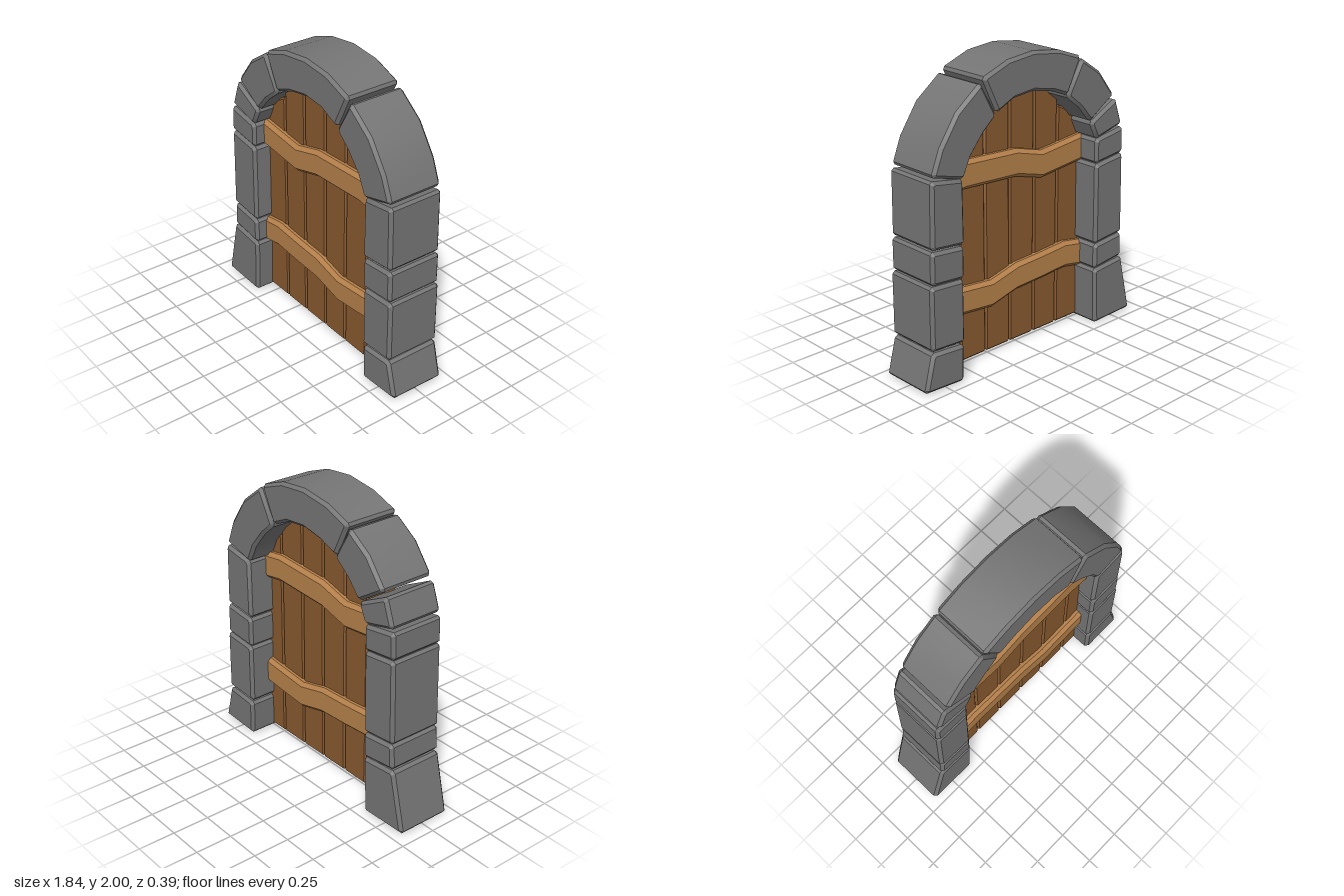
import * as THREE from 'three';
import { toCreasedNormals } from 'three/addons/utils/BufferGeometryUtils.js';

const stoneMat = new THREE.MeshStandardMaterial({ color: 0x757575 });
const plankMat = new THREE.MeshStandardMaterial({ color: 0x87592f });
const barMat = new THREE.MeshStandardMaterial({ color: 0xb5804a });

// Clip every sharp corner of an outline, leaving gentle bends alone
function clipCorners(points, cut) {
  const pts = points.map(([x, y]) => new THREE.Vector2(x, y));
  const out = [];
  pts.forEach((p, i) => {
    const toPrev = pts[(i + pts.length - 1) % pts.length].clone().sub(p).normalize();
    const toNext = pts[(i + 1) % pts.length].clone().sub(p).normalize();
    if (toPrev.dot(toNext) < -0.75) out.push(p);
    else out.push(p.clone().addScaledVector(toPrev, cut), p.clone().addScaledVector(toNext, cut));
  });
  return out;
}

// Slab with chamfered edges: front outline, back and front z, chamfer size, corner cut
function slab(name, outline, z0, z1, bevel, cut, material) {
  const shape = new THREE.Shape(cut > 0 ? clipCorners(outline, cut) : outline.map(([x, y]) => new THREE.Vector2(x, y)));
  const geo = new THREE.ExtrudeGeometry(shape, {
    depth: z1 - z0 - 2 * bevel, bevelEnabled: true, bevelSegments: 1,
    bevelSize: bevel, bevelThickness: bevel, bevelOffset: -bevel,
  });
  geo.translate(0, 0, z0 + bevel);
  const mesh = new THREE.Mesh(toCreasedNormals(geo, 0.5), material);
  mesh.name = name;
  return mesh;
}

export function createModel() {
  const model = new THREE.Group();
  model.name = 'archedDoor';

  // Stone frame, from the foot of one pillar over the arch to the other
  const stones = {
    rightFootStone: [[-0.925, 0.01], [-0.57, 0], [-0.555, 0.4], [-0.83, 0.425]],
    rightPillarStone1: [[-0.825, 0.435], [-0.555, 0.405], [-0.555, 0.58], [-0.815, 0.605]],
    rightPillarStone2: [[-0.82, 0.61], [-0.555, 0.585], [-0.55, 1.145], [-0.81, 1.175]],
    rightPillarStone3: [[-0.81, 1.18], [-0.55, 1.15], [-0.545, 1.32], [-0.805, 1.36]],
    archStone1: [[-0.795, 1.38], [-0.55, 1.32], [-0.49, 1.445], [-0.73, 1.565]],
    archStone2: [[-0.71, 1.59], [-0.49, 1.45], [-0.39, 1.565], [-0.27, 1.66], [-0.4, 1.885], [-0.57, 1.77]],
    archKeystone: [[-0.395, 1.9], [-0.28, 1.665], [-0.14, 1.72], [0.02, 1.75], [0.18, 1.735], [0.32, 1.67],
      [0.435, 1.905], [0.23, 1.98], [0.02, 2], [-0.2, 1.97]],
    archStone3: [[0.45, 1.885], [0.325, 1.66], [0.43, 1.57], [0.53, 1.45], [0.59, 1.32],
      [0.835, 1.385], [0.77, 1.55], [0.64, 1.74]],
    leftPillarStone3: [[0.845, 1.365], [0.595, 1.325], [0.59, 0.91], [0.85, 0.935]],
    leftPillarStone2: [[0.855, 0.925], [0.595, 0.9], [0.595, 0.69], [0.855, 0.71]],
    leftPillarStone1: [[0.865, 0.705], [0.6, 0.685], [0.6, 0.265], [0.865, 0.28]],
    leftFootStone: [[0.86, 0.27], [0.605, 0.25], [0.61, 0], [0.925, 0.015]],
  };
  const frame = new THREE.Group();
  frame.name = 'stoneFrame';
  for (const [name, outline] of Object.entries(stones)) {
    frame.add(slab(name, outline, -0.195, 0.195, 0.02, 0.018, stoneMat));
  }
  model.add(frame);

  // Door planks: left edge, right edge, top height at each edge
  const door = new THREE.Group();
  door.name = 'plankDoor';
  [
    [-0.58, -0.37, 1.45, 1.555], [-0.37, -0.16, 1.65, 1.78], [-0.16, 0.055, 1.78, 1.82],
    [0.055, 0.265, 1.82, 1.78], [0.265, 0.48, 1.76, 1.6], [0.48, 0.635, 1.6, 1.42],
  ].forEach(([x0, x1, y0, y1], i) => {
    const outline = [[x0, 0.015], [x1, 0.015], [x1, y1], [x0, y0]];
    door.add(slab('plank' + (i + 1), outline, -0.01, 0.07, 0.012, 0.014, plankMat));
  });
  model.add(door);

  // Crooked cross bars: centre line points, showing on both faces of the door
  const bars = {
    upperBar: [[-0.6, 1.24], [-0.2, 1.198], [0.02, 1.258], [0.22, 1.268], [0.45, 1.28], [0.64, 1.252]],
    lowerBar: [[-0.6, 0.478], [-0.42, 0.508], [-0.2, 0.492], [0.02, 0.482], [0.24, 0.428], [0.64, 0.466]],
  };
  for (const [name, line] of Object.entries(bars)) {
    const outline = [...line.map(([x, y]) => [x, y - 0.093]), ...line.map(([x, y]) => [x, y + 0.093]).reverse()];
    model.add(slab(name, outline, -0.055, 0.115, 0.025, 0, barMat));
  }
  return model;
}
